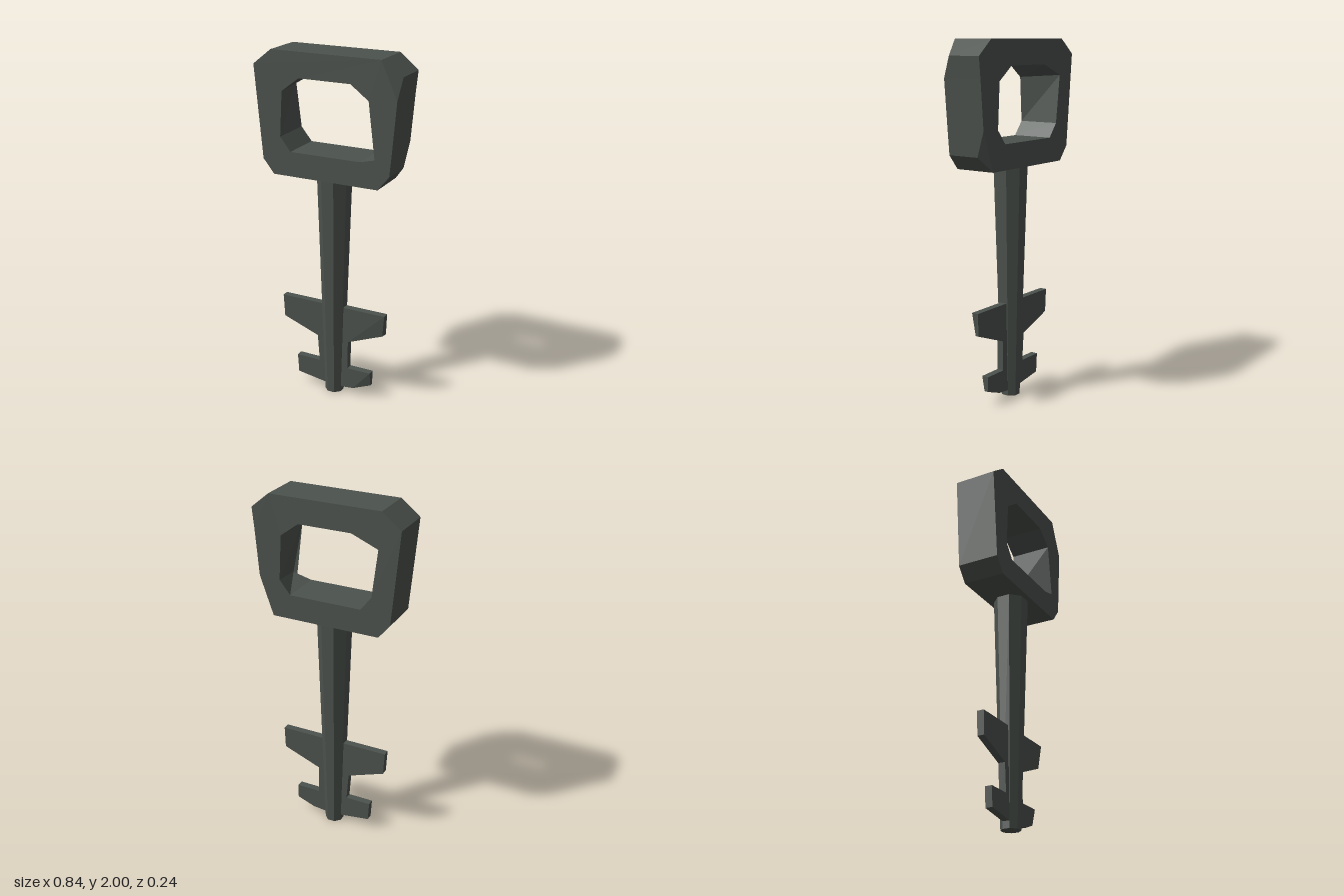
import * as THREE from 'three';

const iron = new THREE.MeshStandardMaterial({ color: 0x4c524d, flatShading: true });
iron.name = 'darkIron';

// Flat plate cut from an outline, centred on z = 0
function plate(name, outline, depth, hole) {
  const toPoints = (list) => list.map(([x, y]) => new THREE.Vector2(x, y));
  const shape = new THREE.Shape(toPoints(outline));
  if (hole) shape.holes.push(new THREE.Path(toPoints(hole)));
  const geometry = new THREE.ExtrudeGeometry(shape, { depth, bevelEnabled: false });
  geometry.translate(0, 0, -depth / 2);
  const mesh = new THREE.Mesh(geometry, iron);
  mesh.name = name;
  return mesh;
}

// Move one outline corner on the front (+1) or back (-1) face to make a chip
function chip(mesh, [x, y], side, target) {
  const p = mesh.geometry.attributes.position;
  for (let i = 0; i < p.count; i++) {
    const near = Math.hypot(p.getX(i) - x, p.getY(i) - y) < 0.002;
    if (near && p.getZ(i) * side > 0) p.setXYZ(i, ...target);
  }
  mesh.geometry.computeVertexNormals();
}

export function createModel() {
  const key = new THREE.Group();
  key.name = 'key';

  // Bow: chunky ring handle with chipped corners
  const bow = plate('bow', [
    [-0.31, 1.32], [0.31, 1.32], [0.375, 1.4], [0.388, 1.54], [0.41, 1.8],
    [0.422, 1.915], [0.32, 2], [-0.315, 2], [-0.422, 1.915], [-0.375, 1.4],
  ], 0.238, [
    [-0.205, 1.458], [-0.267, 1.535], [-0.253, 1.785], [-0.15, 1.862],
    [0.15, 1.862], [0.253, 1.785], [0.267, 1.535], [0.205, 1.458],
  ]);
  chip(bow, [0.422, 1.915], 1, [0.422, 1.915, 0.075]);
  chip(bow, [0.375, 1.4], -1, [0.375, 1.4, -0.068]);
  chip(bow, [0.267, 1.535], 1, [0.315, 1.485, 0.119]);
  chip(bow, [-0.253, 1.785], -1, [-0.3, 1.8, -0.119]);
  key.add(bow);

  // Shaft: tapered octagonal rod
  const rod = new THREE.CylinderGeometry(0.097, 0.054, 1.33, 8);
  rod.rotateY(Math.PI / 8);
  const shaft = new THREE.Mesh(rod, iron);
  shaft.name = 'shaft';
  shaft.position.y = 0.665;
  key.add(shaft);

  // Bit: wide upper teeth, neck and short lower teeth
  const bit = plate('bit', [
    [-0.06, 0.04], [0.06, 0.035], [0.13, 0.042], [0.235, 0.08], [0.235, 0.165],
    [0.095, 0.165], [0.095, 0.335], [0.315, 0.42], [0.32, 0.548], [-0.325, 0.548],
    [-0.317, 0.415], [-0.1, 0.335], [-0.088, 0.175], [-0.235, 0.175], [-0.228, 0.065],
  ], 0.04);
  chip(bit, [0.315, 0.42], 1, [0.305, 0.416, 0.008]);
  chip(bit, [0.235, 0.08], 1, [0.235, 0.08, 0.004]);
  key.add(bit);

  return key;
}
